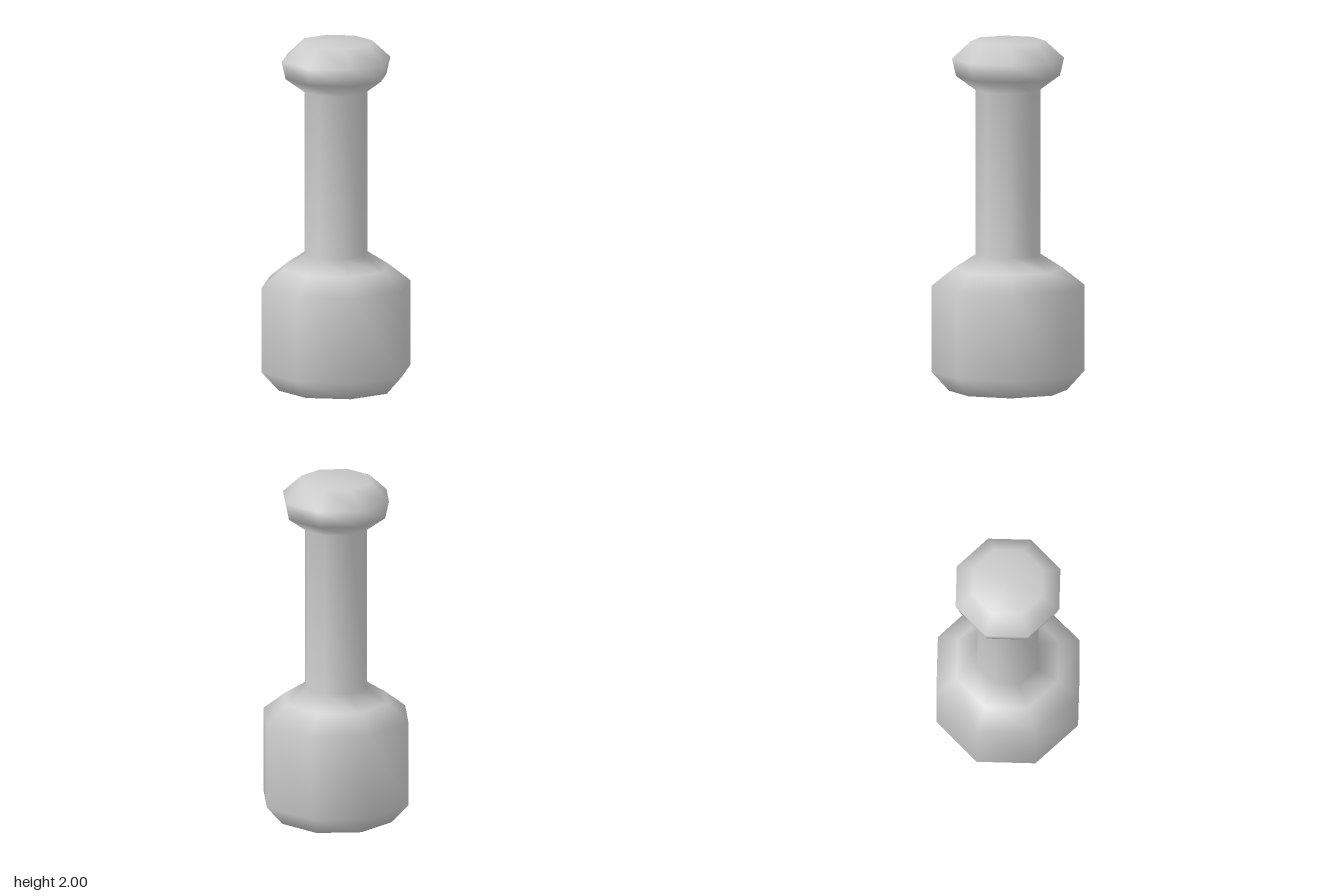
import * as THREE from 'three';

// Profile sections as [radius, height], from the bottom up
const base = [[0, 0], [0.335, 0], [0.435, 0.11], [0.435, 0.6], [0.31, 0.7]];
const shaft = [[0.185, 0.78], [0.185, 1.72]];
const knob = [[0.295, 1.8], [0.318, 1.9], [0.21, 2], [0, 2]];

export function createModel() {
  const group = new THREE.Group();
  group.name = 'weightedHandle';

  // One eight-sided turned body, smooth shaded from base to knob
  const profile = [...base, ...shaft, ...knob].map(([r, y]) => new THREE.Vector2(r, y));
  const body = new THREE.Mesh(
    new THREE.LatheGeometry(profile, 8),
    new THREE.MeshStandardMaterial({ color: 0xcccccc })
  );
  body.name = 'baseShaftAndKnob';
  group.add(body);
  return group;
}
